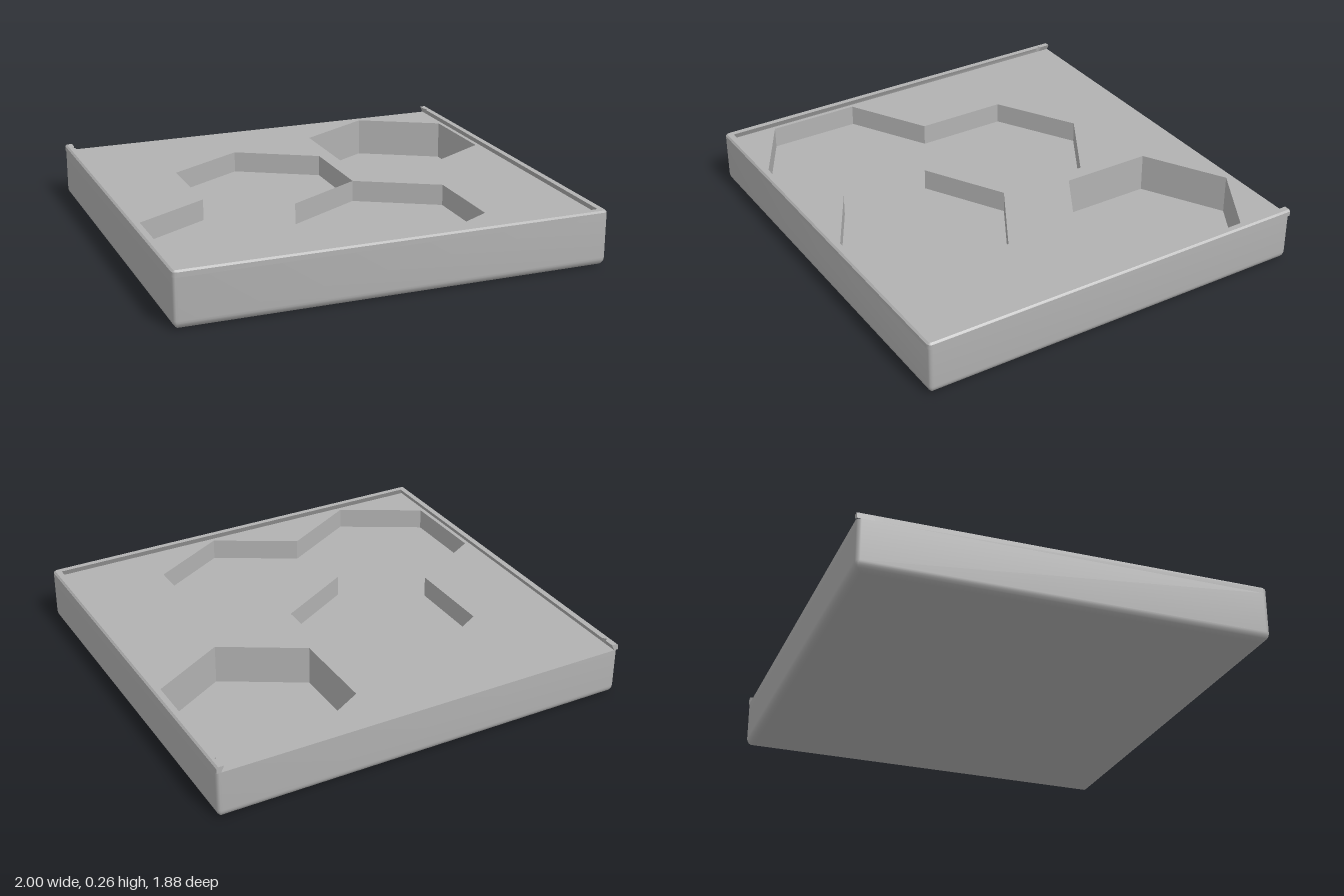
import * as THREE from 'three';
import { toCreasedNormals } from 'three/addons/utils/BufferGeometryUtils.js';

const HX = 1, HZ = 0.94;          // half width and half depth
const TOP = 0.26, DECK = 0.23;    // rim top and lid-slot floor
const CORNER = 0.02;

const grey = new THREE.MeshStandardMaterial({ color: 0xb2b2b2 });
grey.name = 'grey plastic';
const greySheet = new THREE.MeshStandardMaterial({ color: 0xb2b2b2, side: THREE.DoubleSide });
greySheet.name = 'grey plastic sheet';

// Rounded corner k (0 front right, 1 front left, 2 back left, 3 back right) as [x, z] points
function corner(k, inset) {
  const sx = [-1, 1, 1, -1][k], sz = [1, 1, -1, -1][k];
  const r = Math.max(CORNER - inset, 0.002), pts = [];
  for (let i = 0; i <= 4; i++) {
    const a = Math.PI * (1 - k / 2 - i / 8);
    pts.push([sx * (HX - inset - r) + r * Math.cos(a), sz * (HZ - inset - r) + r * Math.sin(a)]);
  }
  return pts;
}
const ring = inset => [0, 1, 2, 3].flatMap(k => corner(k, inset));

// Skin between successive rows of [x, z] points, each at its own height
function loft(rows, heights, closed, crease = 0.6) {
  const n = rows[0].length, pos = [], index = [];
  rows.forEach((row, i) => row.forEach(([x, z]) => pos.push(x, heights[i], z)));
  for (let i = 0; i < rows.length - 1; i++) {
    for (let j = 0; j < (closed ? n : n - 1); j++) {
      const a = i * n + j, b = i * n + (j + 1) % n;
      index.push(a, b, b + n, a, b + n, a + n);
    }
  }
  const g = new THREE.BufferGeometry();
  g.setAttribute('position', new THREE.Float32BufferAttribute(pos, 3));
  g.setIndex(index);
  return toCreasedNormals(g, crease);
}

// Horizontal face from an [x, z] outline, with optional holes
function flat(outline, y, holes = [], up = true) {
  const s = up ? -1 : 1;
  const v = pts => pts.map(([x, z]) => new THREE.Vector2(x, s * z));
  const shape = new THREE.Shape(v(outline));
  holes.forEach(h => shape.holes.push(new THREE.Path(v(h))));
  return new THREE.ShapeGeometry(shape).rotateX(s * Math.PI / 2).translate(0, y, 0);
}

export function createModel() {
  const tray = new THREE.Group();
  tray.name = 'tray';
  const add = (name, geometry, material = grey) => {
    const m = new THREE.Mesh(geometry, material);
    m.name = name;
    tray.add(m);
  };

  // Outer walls with a rounded lower edge
  const R = 0.04, rows = [], heights = [];
  for (let i = 0; i <= 6; i++) {
    const a = i / 6 * Math.PI / 2;
    rows.push(ring(R * (1 - Math.sin(a))));
    heights.push(R * (1 - Math.cos(a)));
  }
  rows.push(ring(0));
  heights.push(DECK);
  add('outerWalls', loft(rows, heights, true));
  add('underside', flat(ring(R), 0, [], false));

  // Pocket outlines: three merged hexagons, and one single hexagon
  const triple = [[-0.59, 0.9], [-0.22, 0.69], [0.15, 0.9], [0.52, 0.69], [0.52, 0.26], [0.15, 0.05],
    [0.15, -0.38], [-0.22, -0.595], [-0.59, -0.38], [-0.59, 0.05], [-0.96, 0.26], [-0.96, 0.69]];
  const single = [[0.59, -0.05], [0.96, -0.265], [0.96, -0.695], [0.59, -0.907], [0.22, -0.695], [0.22, -0.265]];
  add('deck', flat(ring(0), DECK, [triple, single]));
  [['triplePocket', triple, 0.13], ['singlePocket', single, 0.045]].forEach(([name, outline, floor]) => {
    add(name + 'Walls', loft([outline, outline], [DECK, floor], true, 0.1));
    add(name + 'Floor', flat(outline, floor));
  });

  // Thin divider standing in the triple pocket
  add('pocketDivider', loft([[[-0.22, 0.26], [0.15, 0.05]], [[-0.22, 0.26], [0.15, 0.05]]], [0.13, DECK], false), greySheet);

  // Undercut rim on three sides, with a small latch notch near each open end
  const section = [[0, DECK], [0, 0.252], [0.008, TOP], [0.035, TOP], [0.02, DECK]];
  const rimRow = inset => {
    const side = [[-HZ, 0], [-0.895, 0], [-0.88, 0.014], [-0.865, 0]]
      .map(([z, notch]) => [HX - inset + (inset > 0.03 ? notch : 0), z]);
    return [...side.map(([x, z]) => [-x, z]), ...corner(0, inset), ...corner(1, inset), ...side.reverse()];
  };
  add('rim', loft(section.map(p => rimRow(p[0])), section.map(p => p[1]), false, 0.5));
  [-1, 1].forEach(s => {
    const end = new THREE.Shape(section.map(([inset, y]) => new THREE.Vector2(s * (HX - inset), y)));
    add(s < 0 ? 'leftRimEnd' : 'rightRimEnd', new THREE.ShapeGeometry(end).rotateY(Math.PI).translate(0, 0, -HZ));
  });

  return tray;
}
